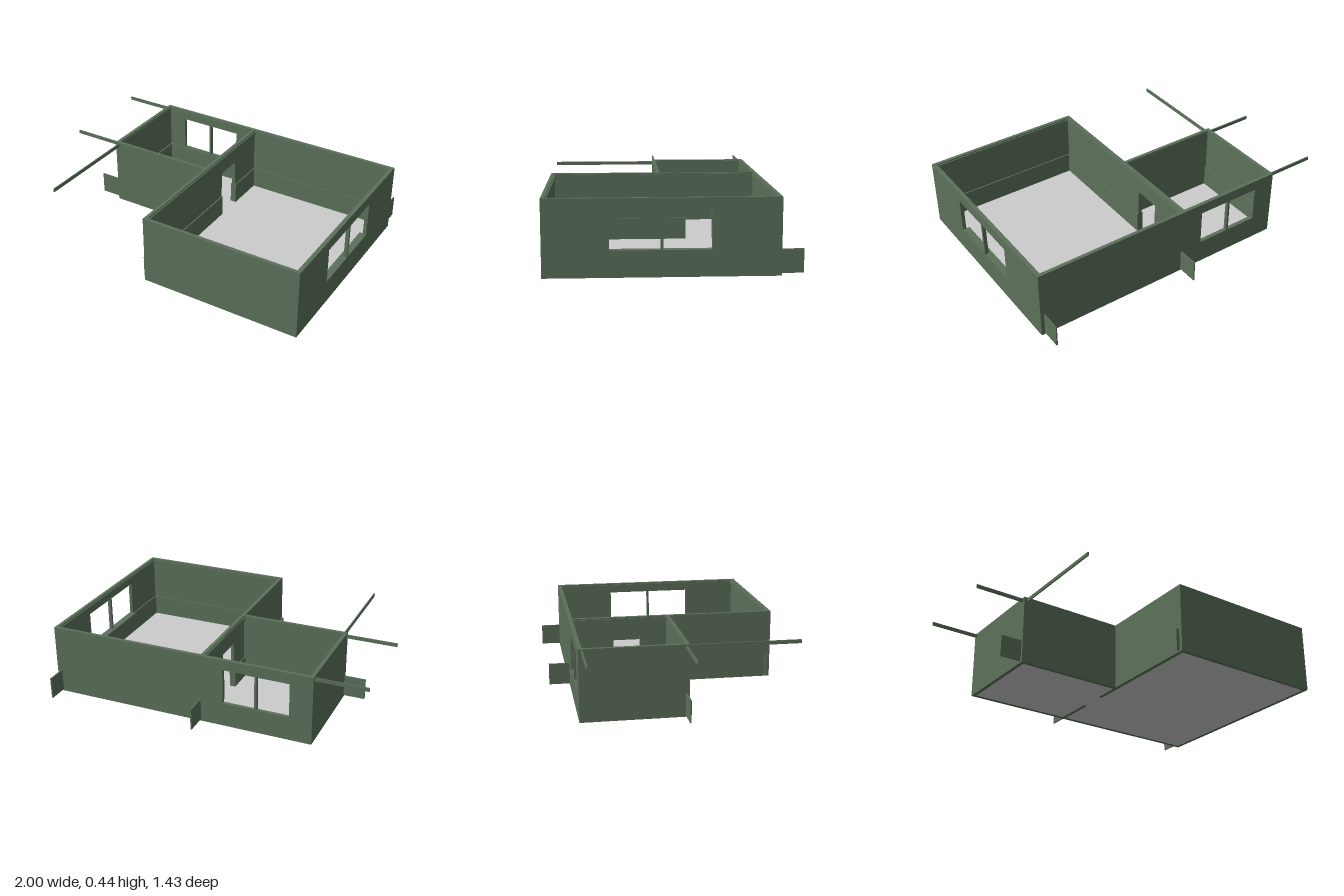
import * as THREE from 'three';

const green = new THREE.MeshStandardMaterial({ color: 0x5c705a });
const grey = new THREE.MeshStandardMaterial({ color: 0xcccccc });
const H = 0.435, T = 0.022, TRIM = 0.008;

export function createModel() {
  const model = new THREE.Group();

  // Box given by its minimum and maximum corners
  function box(name, [x0, y0, z0], [x1, y1, z1], material = green) {
    const mesh = new THREE.Mesh(new THREE.BoxGeometry(x1 - x0, y1 - y0, z1 - z0), material);
    mesh.position.set((x0 + x1) / 2, (y0 + y1) / 2, (z0 + z1) / 2);
    mesh.name = name;
    model.add(mesh);
  }

  // Wall running from a to b along an axis; at = its lower face on the other axis.
  // Openings are [from, to, bottom, top].
  function wall(name, axis, a, b, at, openings = []) {
    const sign = axis === 'z' ? -1 : 1;
    const rect = (T_, u0, u1, v0, v1) => {
      const [l, r] = sign < 0 ? [-u1, -u0] : [u0, u1];
      return new T_([[l, v0], [r, v0], [r, v1], [l, v1]].map(p => new THREE.Vector2(...p)));
    };
    const shape = rect(THREE.Shape, a, b, 0, H);
    for (const o of openings) shape.holes.push(rect(THREE.Path, ...o));
    const geo = new THREE.ExtrudeGeometry(shape, { depth: T, bevelEnabled: false });
    if (axis === 'z') geo.rotateY(Math.PI / 2);
    geo.translate(axis === 'z' ? at : 0, 0, axis === 'z' ? 0 : at);
    const mesh = new THREE.Mesh(geo, green);
    mesh.name = name;
    model.add(mesh);
  }

  // Thin trim along a wall: baseboard low down, cornice near the top
  function trim(name, axis, a, b, at, y0, y1) {
    if (axis === 'x') box(name, [a, y0, at], [b, y1, at + TRIM]);
    else box(name, [at, y0, a], [at + TRIM, y1, b]);
  }
  const baseboard = (...p) => trim('baseboard', ...p, 0.01, 0.145);
  const cornice = (...p) => trim('cornice', ...p, 0.405, 0.427);

  // Floors
  box('mainFloor', [0, 0.002, -0.575], [0.985, 0.01, 0.7], grey);
  box('sideFloor', [-0.675, 0.002, -0.575], [0, 0.01, 0.037], grey);

  // Walls with two double windows and an inner doorway
  const y0 = 0.15, y1 = 0.37;
  wall('backWall', 'x', -0.685, 1, -0.59, [[-0.545, -0.345, y0, y1], [-0.33, -0.13, y0, y1]]);
  wall('windowWall', 'z', -0.59, 0.71, 0.978, [[-0.21, 0.055, y0, y1], [0.07, 0.345, y0, y1]]);
  wall('frontWall', 'x', -0.01, 1, 0.688);
  wall('sideFrontWall', 'x', -0.685, 0, 0.025);
  wall('sideEndWall', 'z', -0.59, 0.047, -0.685);
  // The doorway reaches the floor, so the dividing wall is two runs and a lintel
  wall('dividingWall', 'z', -0.59, -0.31, -0.01);
  wall('dividingWall', 'z', -0.14, 0.71, -0.01);
  box('doorLintel', [-0.01, 0.315, -0.31], [-0.01 + T, H, -0.14]);

  // Inner window sill
  box('windowSill', [0.955, 0.14, -0.215], [0.98, 0.15, 0.345]);

  // Baseboards, some running on past the walls
  baseboard('z', -0.715, 0.688, 0.97);
  baseboard('z', -0.72, -0.31, 0.012);
  baseboard('z', -0.14, 0.688, 0.012);
  baseboard('x', -0.03, 0.978, 0.68);
  baseboard('x', 0.012, 0.978, -0.568);
  baseboard('x', -0.82, -0.01, 0.024);
  baseboard('x', -0.663, -0.01, -0.568);
  baseboard('z', -0.568, 0.025, -0.663);
  baseboard('z', -0.568, -0.31, -0.018);
  baseboard('z', -0.14, 0.025, -0.018);

  // Cornice strips, three of them overshooting the side room
  cornice('x', -1, 0.978, -0.572);
  cornice('x', -1, -0.01, 0.024);
  cornice('z', -0.568, 0.71, -0.667);
  cornice('z', -0.568, 0.025, -0.018);
  cornice('z', -0.568, 0.688, 0.012);
  cornice('z', -0.568, 0.688, 0.97);
  cornice('x', 0.012, 0.978, 0.68);

  return model;
}
